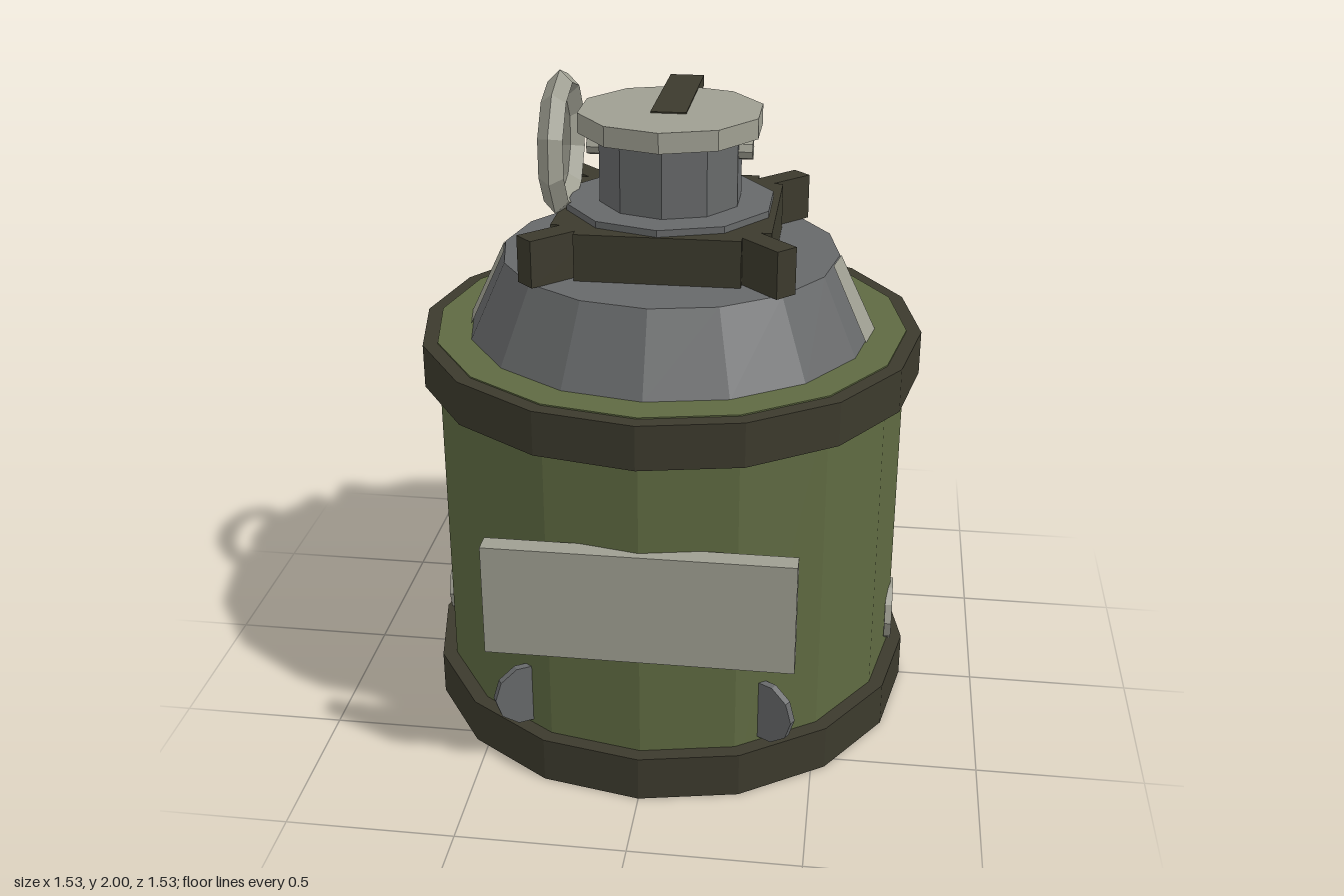
import * as THREE from 'three';

const mat = (name, color) => {
  const m = new THREE.MeshStandardMaterial({ color, flatShading: true });
  m.name = name;
  return m;
};

export function createModel() {
  const green = mat('olive green', 0x5f6a42);
  const dark = mat('dark olive', 0x3c3a2d);
  const grey = mat('steel grey', 0x67696a);
  const pale = mat('pale metal', 0x9f9f92);

  const model = new THREE.Group();
  model.name = 'canister';
  const add = (name, geometry, material, x = 0, y = 0, z = 0) => {
    const mesh = new THREE.Mesh(geometry, material);
    mesh.name = name;
    mesh.position.set(x, y, z);
    model.add(mesh);
    return mesh;
  };
  // Upright faceted drum between two heights
  const drum = (name, material, rBottom, rTop, y0, y1, sides) =>
    add(name, new THREE.CylinderGeometry(rTop, rBottom, y1 - y0, sides), material, 0, (y0 + y1) / 2, 0);

  // Body with a band at each end
  drum('body', green, 0.72, 0.72, 0.01, 1.228, 16);
  drum('lowerBand', dark, 0.765, 0.765, 0, 0.14, 16);
  drum('upperBand', dark, 0.765, 0.765, 1.09, 1.224, 16);

  // Shoulder cone
  drum('shoulder', grey, 0.62, 0.51, 1.225, 1.46, 16);

  // Pale patch on each side of the shoulder, following its facets
  const rows = [[0.624, 1.229], [0.514, 1.46]];
  const points = rows.flatMap(([r, y]) => [
    [r * 0.962, y, r * 0.191], [r, y, 0], [r * 0.962, y, -r * 0.191],
  ]).flat();
  const patch = new THREE.BufferGeometry();
  patch.setAttribute('position', new THREE.Float32BufferAttribute(points, 3));
  patch.setIndex([0, 1, 4, 0, 4, 3, 1, 2, 5, 1, 5, 4]);
  patch.computeVertexNormals();
  add('leftShoulderPatch', patch, pale);
  add('rightShoulderPatch', patch, pale).rotation.y = Math.PI;

  // Collar: two crossed blocks with four diagonal arms
  add('collarLong', new THREE.BoxGeometry(0.48, 0.14, 0.64), dark, 0, 1.53, 0);
  add('collarWide', new THREE.BoxGeometry(0.64, 0.14, 0.48), dark, 0, 1.53, 0);
  for (let i = 0; i < 4; i++) {
    const a = Math.PI / 4 + i * Math.PI / 2;
    const arm = add('collarArm', new THREE.BoxGeometry(0.275, 0.14, 0.07), dark,
      0.388 * Math.cos(a), 1.53, 0.388 * Math.sin(a));
    arm.rotation.y = -a;
  }

  // Neck, flange and lid
  drum('flange', grey, 0.315, 0.315, 1.59, 1.62, 10);
  drum('neck', grey, 0.215, 0.215, 1.62, 1.83, 10);
  drum('lid', pale, 0.277, 0.277, 1.83, 1.89, 10);

  // Cross pin through the neck
  const pin = new THREE.CylinderGeometry(0.03, 0.03, 0.49, 8).rotateZ(Math.PI / 2);
  add('crossPin', pin, pale, 0, 1.78, 0.02);

  // Lever over the lid and its tilted lower half behind
  add('topLever', new THREE.BoxGeometry(0.105, 0.034, 0.465), dark, 0, 1.877, -0.172);
  add('rearLever', new THREE.BoxGeometry(0.105, 0.31, 0.042), dark, 0, 1.615, -0.413).rotation.x = -0.08;

  // Pull ring
  const ring = new THREE.TorusGeometry(0.182, 0.037, 4, 10).rotateZ(Math.PI / 2).rotateY(Math.PI / 2);
  add('pullRing', ring, pale, -0.323, 1.78, 0.02);

  // Front plate
  add('frontPlate', new THREE.BoxGeometry(0.895, 0.345, 0.06), pale, 0, 0.637, 0.715);

  // Six thin discs round the foot
  const disc = new THREE.CylinderGeometry(0.1, 0.1, 0.022, 10).rotateZ(Math.PI / 2);
  for (let i = 0; i < 6; i++) {
    const a = i * Math.PI / 3;
    const mesh = add('footDisc', disc, i % 3 === 0 ? pale : grey,
      0.717 * Math.cos(a), 0.247, 0.717 * Math.sin(a));
    mesh.rotation.y = a;
  }

  return model;
}
